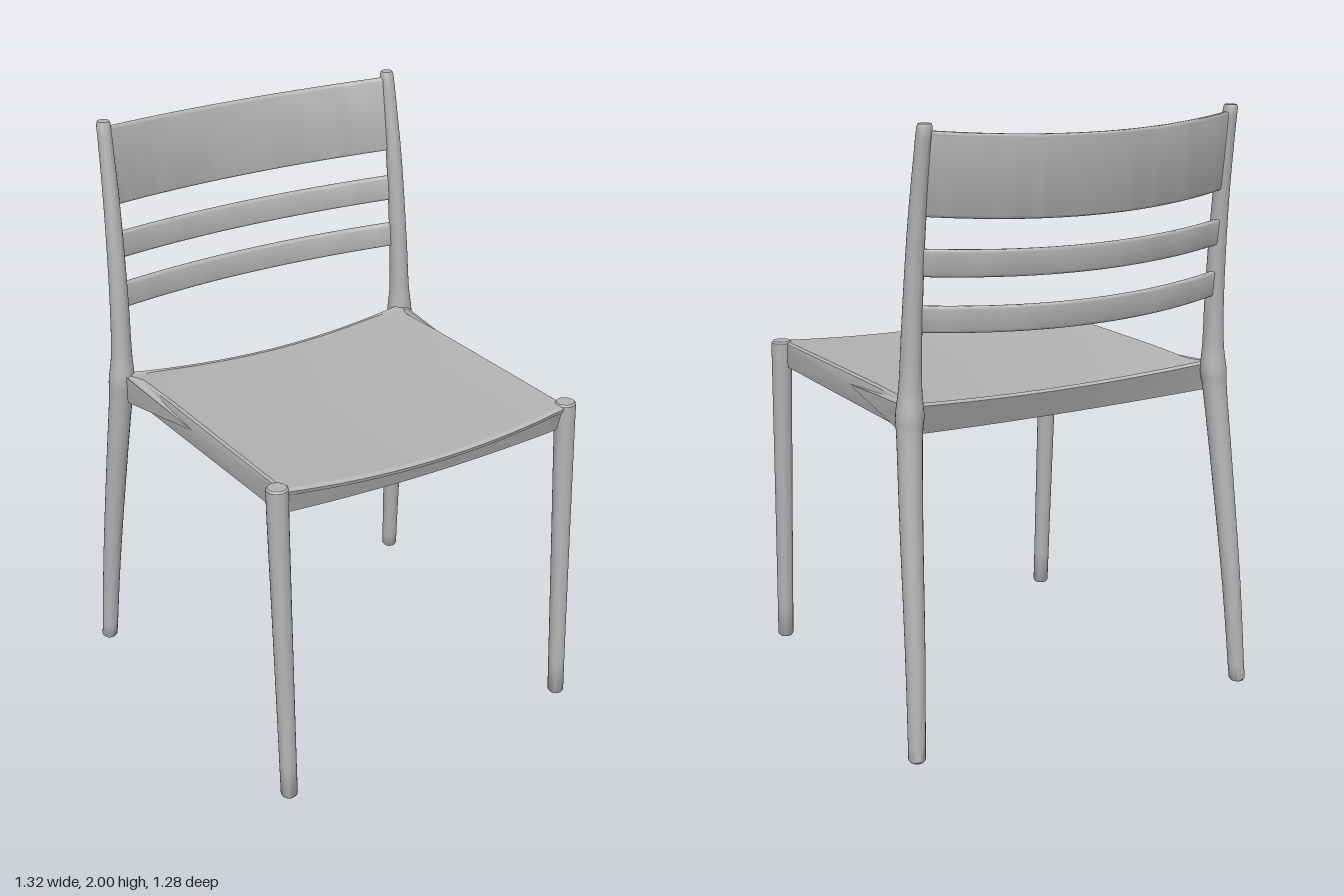
import * as THREE from 'three';
import { toCreasedNormals } from 'three/addons/utils/BufferGeometryUtils.js';

const grey = new THREE.MeshStandardMaterial({ color: 0xb4b4b4 });
grey.name = 'plastic grey';

// Skin a row of closed cross-sections, cap both ends, and face the surface outward
function loft(sections, crease = 0.6) {
  const n = sections[0].length, m = sections.length;
  const pos = [], tris = [];
  sections.forEach(s => s.forEach(p => pos.push(...p)));
  for (let i = 0; i < m - 1; i++) {
    for (let j = 0; j < n; j++) {
      const a = i * n + j, b = i * n + (j + 1) % n;
      tris.push([a, b, a + n], [b, b + n, a + n]);
    }
  }
  for (const [row, flip] of [[0, true], [m - 1, false]]) {
    const centre = pos.length / 3;
    for (let k = 0; k < 3; k++) pos.push(sections[row].reduce((t, p) => t + p[k], 0) / n);
    for (let j = 0; j < n; j++) {
      const a = row * n + j, b = row * n + (j + 1) % n;
      tris.push(flip ? [b, a, centre] : [a, b, centre]);
    }
  }
  const v = i => new THREE.Vector3().fromArray(pos, i * 3);
  const volume = tris.reduce((t, [a, b, c]) => t + v(a).dot(v(b).cross(v(c))), 0);
  if (volume < 0) tris.forEach(t => t.reverse());
  const g = new THREE.BufferGeometry();
  g.setAttribute('position', new THREE.Float32BufferAttribute(pos, 3));
  g.setIndex(tris.flat());
  return toCreasedNormals(g, crease);
}

function part(name, geometry) {
  const mesh = new THREE.Mesh(geometry, grey);
  mesh.name = name;
  return mesh;
}

// Round leg through [x, y, z, radius] stations, mirrored by side
function leg(stations, side, steps, topRound) {
  const path = new THREE.CatmullRomCurve3(
    stations.map(([x, y, z]) => new THREE.Vector3(x * side, y, z)), false, 'catmullrom');
  const radius = new THREE.SplineCurve(stations.map(s => new THREE.Vector2(s[3], 0)));
  const ring = (c, r, dy = 0) => Array.from({ length: 24 }, (_, i) => {
    const a = i / 24 * Math.PI * 2;
    return [c.x + r * Math.cos(a), c.y + dy, c.z + r * Math.sin(a)];
  });
  const rings = [];
  for (let i = 0; i <= steps; i++) {
    const t = i / steps, c = path.getPoint(t), r = radius.getPoint(t).x;
    if (i === 0) rings.push(ring(c, r * 0.8), ring(c, r, 0.008));
    else if (i === steps) rings.push(ring(c, r, -topRound), ring(c, r * 0.85));
    else rings.push(ring(c, r));
  }
  return loft(rings, 0.7);
}

// Curved, leaning back slat with rounded edges
function slat({ top, bottom, sag, zEnd, zMid, lean, thick }) {
  const sections = [], half = 0.565, h = (top - bottom) / 2, c = 0.008;
  for (let i = 0; i <= 32; i++) {
    const u = i / 16 - 1, bow = 1 - u * u;
    const z0 = zEnd + (zMid - zEnd) * bow, y0 = (top + bottom) / 2 - sag * bow;
    const t = thick / 2;
    const outline = [];
    for (const [sz, sy, start] of [[1, 1, 0], [-1, 1, 90], [-1, -1, 180], [1, -1, 270]]) {
      for (const d of [0, 30, 60, 90]) {
        const a = (start + d) * Math.PI / 180;
        const dz = sz * (t - c) + c * Math.cos(a), dy = sy * (h - c) + c * Math.sin(a);
        outline.push([half * u, y0 + dy, z0 + dz - lean * dy / h]);
      }
    }
    sections.push(outline);
  }
  return loft(sections);
}

// Dished seat with a thin front lip, an apron below it and a flare to the back legs
function seat() {
  const us = [-1, -0.985];
  for (let i = 1; i < 28; i++) us.push(i / 14 - 1);
  us.push(0.985, 1);
  const sections = us.map(u => {
    const bow = 1 - u * u, edge = Math.abs(u) === 1 ? 0.007 : 0;
    const top = 1.13 - 0.03 * bow - edge;
    const back = -0.44 + 0.04 * bow, front = 0.59 + 0.027 * bow;
    const apron = Math.min(front - 0.006, 0.587);
    const rows = [[back + 0.03, 1.022 - 0.02 * bow], [back + 0.004, top - 0.02], [back, top - 0.008], [back + 0.01, top]];
    for (const z of [-0.41, -0.38, -0.35, -0.32, -0.15, 0.05, 0.25, 0.45, 0.55]) {
      rows.push([Math.max(z, back + 0.012 + (z + 0.41) * 0.1), top - 0.006 * THREE.MathUtils.smoothstep(-z, 0.1, 0.4)]);
    }
    rows.push([front - 0.012, top], [front, top - 0.008], [front - 0.003, top - 0.02], [apron, top - 0.024]);
    rows.push([apron - 0.015, 1.04 - 0.02 * bow]);
    for (const z of [0.3, 0, -0.25, -0.33]) rows.push([z, 1.03 + z * 0.017 - 0.02 * bow]);
    return rows.map(([z, y]) => {
      const flare = 0.035 * THREE.MathUtils.smoothstep(-z, 0.34, 0.44);
      return [u * (0.552 + flare), y, z];
    });
  });
  return loft(sections, 0.5);
}

export function createModel() {
  const chair = new THREE.Group();
  chair.name = 'chair';
  chair.add(part('seat', seat()));

  // Front legs and continuous back legs
  const frontLeg = [[0.558, 0, 0.612, 0.028], [0.559, 0.5, 0.591, 0.031], [0.56, 1.0, 0.57, 0.035], [0.56, 1.132, 0.566, 0.036]];
  const backLeg = [
    [0.634, 0, -0.57, 0.028], [0.62, 0.35, -0.539, 0.032], [0.602, 0.75, -0.49, 0.037],
    [0.587, 1.02, -0.457, 0.041], [0.582, 1.1, -0.45, 0.045], [0.578, 1.2, -0.449, 0.036],
    [0.573, 1.4, -0.456, 0.032], [0.567, 1.7, -0.482, 0.028], [0.561, 2, -0.526, 0.024],
  ];
  for (const [side, label] of [[1, 'left'], [-1, 'right']]) {
    chair.add(part(label + 'FrontLeg', leg(frontLeg, side, 12, 0.006)));
    chair.add(part(label + 'BackLeg', leg(backLeg, side, 48, 0.01)));
  }

  // Back rest
  chair.add(part('topRail', slat({ top: 1.98, bottom: 1.72, sag: 0.025, zEnd: -0.503, zMid: -0.61, lean: 0.017, thick: 0.025 })));
  chair.add(part('middleSlat', slat({ top: 1.622, bottom: 1.535, sag: 0.02, zEnd: -0.477, zMid: -0.569, lean: 0.005, thick: 0.025 })));
  chair.add(part('lowerSlat', slat({ top: 1.445, bottom: 1.36, sag: 0.02, zEnd: -0.462, zMid: -0.556, lean: 0.004, thick: 0.025 })));
  return chair;
}
